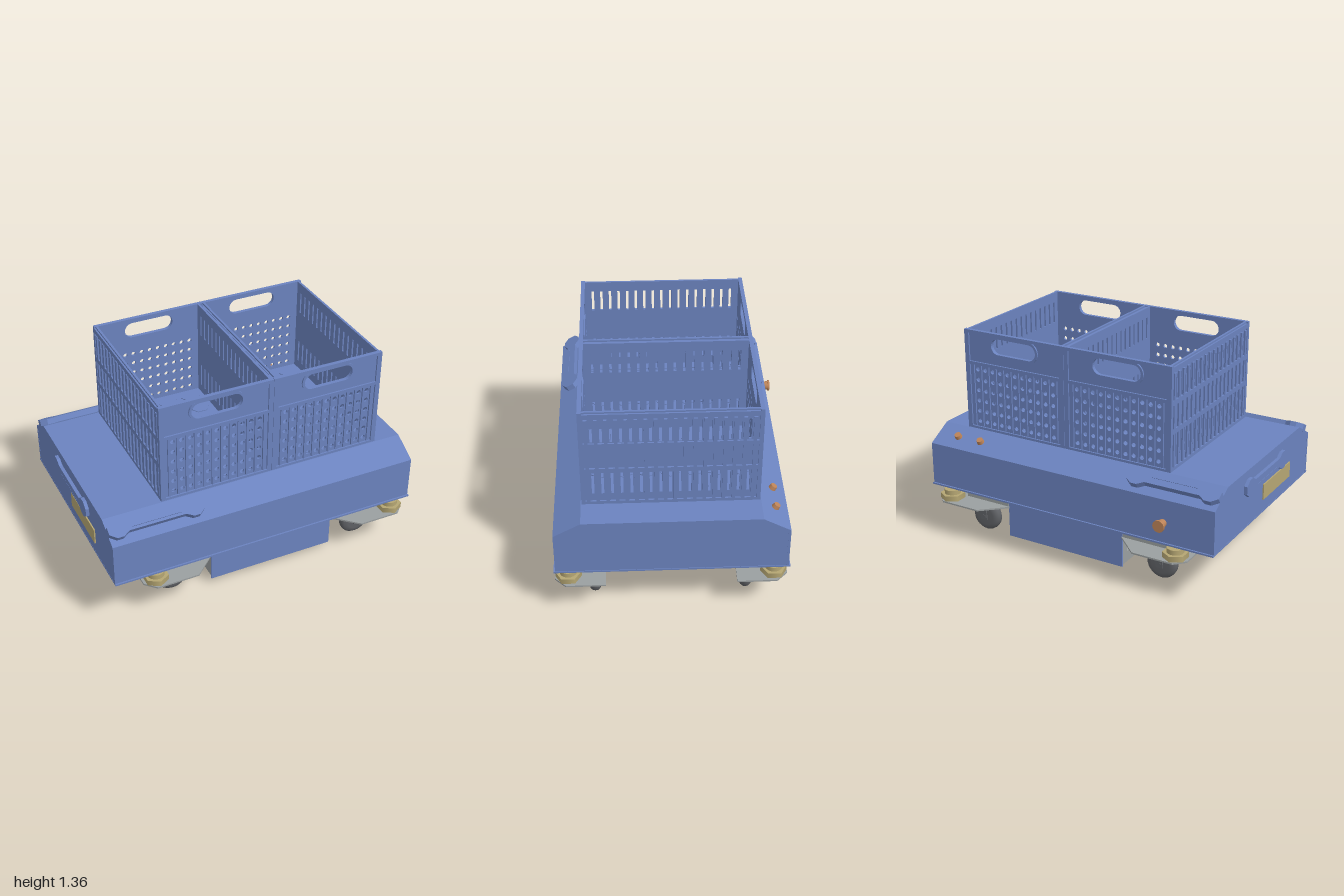
import * as THREE from 'three';

const mat = (name, color) => {
  const m = new THREE.MeshStandardMaterial({ color });
  m.name = name;
  return m;
};

export function createModel() {
  const model = new THREE.Group();
  model.name = 'cartWithCrates';
  const blue = mat('blue', 0x6b83bf);
  const grey = mat('frame grey', 0x9a9fa0);
  const dark = mat('dark grey', 0x606266);
  const tan = mat('tan', 0xb5a673);
  const copper = mat('copper', 0xbd8459);

  const add = (name, geo, m, x = 0, y = 0, z = 0, parent = model) => {
    const mesh = new THREE.Mesh(geo, m);
    mesh.name = name;
    mesh.position.set(x, y, z);
    parent.add(mesh);
    return mesh;
  };
  // Box given by its limits
  const box = (name, m, x0, x1, y0, y1, z0, z1, parent = model) =>
    add(name, new THREE.BoxGeometry(x1 - x0, y1 - y0, z1 - z0), m,
      (x0 + x1) / 2, (y0 + y1) / 2, (z0 + z1) / 2, parent);
  const cyl = (name, m, r0, r1, h, n, x, y, z, parent = model) =>
    add(name, new THREE.CylinderGeometry(r0, r1, h, n), m, x, y, z, parent);
  const poly = pts => new THREE.Shape(pts.map(p => new THREE.Vector2(p[0], p[1])));
  const extrude = (shape, depth) =>
    new THREE.ExtrudeGeometry(shape, { depth, bevelEnabled: false, curveSegments: 6 });
  const rect = (x0, x1, y0, y1, C = THREE.Path) => {
    const p = new C();
    p.moveTo(x0, y0); p.lineTo(x1, y0); p.lineTo(x1, y1); p.lineTo(x0, y1); p.closePath();
    return p;
  };
  // Horizontal hole with round ends
  const slot = (cx, cy, w, h) => {
    const p = new THREE.Path(), r = h / 2, d = w / 2 - r;
    p.absarc(cx + d, cy, r, -Math.PI / 2, Math.PI / 2);
    p.absarc(cx - d, cy, r, Math.PI / 2, Math.PI * 1.5);
    p.closePath();
    return p;
  };

  // Body shell, open below
  const outer = [[0.70, 0.36], [0.70, 0.63], [0.54, 0.72], [-0.495, 0.72], [-0.655, 0.63], [-0.655, 0.36]];
  const inner = [[-0.64, 0.36], [-0.64, 0.62], [-0.49, 0.705], [0.535, 0.705], [0.685, 0.62], [0.685, 0.36]];
  const slice = (name, pts, x, depth) => {
    add(name, extrude(poly(pts), depth), blue, x).rotation.y = -Math.PI / 2;
  };
  slice('bodyShell', [...outer, ...inner], 0.995, 1.975);
  slice('bodyEndLeft', outer, 0.994, 0.015);
  slice('bodyEndRight', outer, -0.964, 0.015);
  const rim = rect(-0.98, 0.998, -0.71, 0.665, THREE.Shape);
  rim.holes.push(rect(-0.62, 0.82, -0.5, 0.45));
  add('bottomRim', extrude(rim, 0.01), blue, 0, 0.352, 0).rotation.x = -Math.PI / 2;

  // Grab handles on the slopes and the right end
  const handleGeo = depth => {
    const q = [[0.295, 0.025], [0.255, 0.055], [0.215, 0.055], [0.175, 0.03]];
    const top = [...q, ...q.map(([x, y]) => [-x, y]).reverse()];
    const s = poly([...top, ...top.map(([x, y]) => [x, -y]).reverse()]);
    s.holes.push(rect(-0.15, 0.15, -0.013, -0.011));
    return extrude(s, depth);
  };
  const slope = Math.atan2(0.16, 0.09);
  add('frontHandle', handleGeo(0.035), blue, -0.685, 0.675, 0.62).rotation.x = -slope;
  add('backHandle', handleGeo(0.035), blue, -0.685, 0.675, -0.575).rotation.x = slope - Math.PI;
  add('endHandle', handleGeo(0.022), blue, -0.978, 0.61, 0.02).rotation.y = -Math.PI / 2;
  box('endPlate', tan, -0.987, -0.979, 0.44, 0.54, 0, 0.4);

  // Buttons and the socket at the back
  for (const x of [0.67, 0.84])
    cyl('button', copper, 0.02, 0.024, 0.03, 16, x, 0.682, -0.582).rotation.x = slope - Math.PI / 2;
  cyl('socket', copper, 0.024, 0.03, 0.06, 20, -0.655, 0.485, -0.68).rotation.x = Math.PI / 2;
  cyl('socketFlange', copper, 0.037, 0.037, 0.01, 20, -0.655, 0.485, -0.708).rotation.x = Math.PI / 2;

  // Two open crates
  const y0 = 0.72, y1 = 1.36, z0 = -0.49, z1 = 0.535, t = 0.014;
  for (const cx of [-0.253, 0.465]) {
    const crate = new THREE.Group();
    crate.name = 'crate';
    model.add(crate);
    const xa = cx - 0.358, xb = cx + 0.358;
    // Front and back walls with grip and round holes
    const face = rect(-0.358, 0.358, y0, y1, THREE.Shape);
    face.holes.push(slot(0, 1.28, 0.32, 0.1));
    for (let i = 0; i < 11; i++)
      for (let j = 0; j < 6; j++) {
        const h = new THREE.Path();
        h.absarc((i - 5) * 0.055, 0.77 + j * 0.068, 0.014, 0, Math.PI * 2);
        face.holes.push(h);
      }
    const faceGeo = extrude(face, t);
    // Long walls with two rows of slots
    const side = rect(z0, z1, y0, y1, THREE.Shape);
    for (let i = 0; i < 17; i++) {
      const z = -0.415 + i * 0.055;
      side.holes.push(rect(z - 0.008, z + 0.008, 0.79, 0.94), rect(z - 0.008, z + 0.008, 1.155, 1.295));
    }
    const sideGeo = extrude(side, t);
    for (const s of [1, -1]) {
      const zo = s > 0 ? z1 : z0;
      add('endWall', faceGeo, blue, cx, 0, s > 0 ? z1 - t - 0.01 : z0 + 0.01, crate);
      const zr = [Math.min(zo, zo - s * 0.012), Math.max(zo, zo - s * 0.012)];
      for (let i = 0; i < 12; i++) {
        const x = cx + (i - 5.5) * 0.055;
        box('endRib', blue, x - 0.006, x + 0.006, 0.74, 1.14, ...zr, crate);
      }
      for (const y of [0.725, 1.15, 1.35])
        box('endRail', blue, xa, xb, y - 0.01, y + 0.01, ...zr, crate);
      for (const x of [xa, xb - 0.03]) box('cornerPost', blue, x, x + 0.03, y0, y1, ...zr, crate);
      const grip = new THREE.Shape(slot(0, 1.28, 0.35, 0.13).getPoints(6));
      grip.holes.push(slot(0, 1.28, 0.32, 0.1));
      add('gripRim', extrude(grip, 0.012), blue, cx, 0, zr[0], crate);

      const w = add('sideWall', sideGeo, blue, s > 0 ? xb - 0.01 : xa + t + 0.01, 0, 0, crate);
      w.rotation.y = -Math.PI / 2;
      const xo = s > 0 ? xb : xa;
      const xr = [Math.min(xo, xo - s * 0.012), Math.max(xo, xo - s * 0.012)];
      for (let i = 0; i < 18; i++) {
        const z = -0.4425 + i * 0.055;
        box('sideRib', blue, ...xr, 0.74, 1.31, z - 0.01, z + 0.01, crate);
      }
      for (const y of [0.725, 0.96, 1.135, 1.335])
        box('sideRail', blue, ...xr, y - 0.015, y + 0.015, z0, z1, crate);
    }
    // Floor with hexagon pads
    box('crateFloor', blue, xa, xb, y0, 0.735, z0, z1, crate);
    for (let i = 0; i < 4; i++)
      for (let j = 0; j < 7; j++)
        cyl('hexPad', blue, 0.066, 0.066, 0.005, 6, cx + (i - 1.5) * 0.163, 0.737, -0.395 + j * 0.137, crate)
          .rotation.y = Math.PI / 2;
  }

  // Chassis, centred under the load
  const chassis = new THREE.Group();
  chassis.name = 'chassis';
  chassis.position.set(0.105, 0, 0.025);
  model.add(chassis);
  const cbox = (name, m, ...lim) => box(name, m, ...lim, chassis);
  const wheelProfile = [[0, -0.035], [0.06, -0.035], [0.085, -0.03], [0.098, -0.015], [0.1, 0],
    [0.098, 0.015], [0.085, 0.03], [0.06, 0.035], [0, 0.035]].map(p => new THREE.Vector2(...p));
  const wheelGeo = new THREE.LatheGeometry(wheelProfile, 28);

  for (const s of [1, -1]) {
    // Skirts
    cbox('longSkirt', blue, -0.413, 0.413, 0.042, 0.355, s * 0.537 - 0.005, s * 0.537 + 0.005);
    cbox('endSkirt', blue, s * 0.73 - 0.005, s * 0.73 + 0.005, 0.24, 0.355, -0.39, 0.39);
    for (const u of [-0.11, 0.11]) {
      cyl('skirtBolt', grey, 0.012, 0.012, 0.008, 4, u, 0.318, s * 0.542, chassis).rotation.x = Math.PI / 2;
      cyl('skirtBolt', grey, 0.012, 0.012, 0.008, 4, s * 0.735, 0.318, u, chassis).rotation.z = Math.PI / 2;
    }
    // Low frame and upper rails
    cbox('lowCrossBar', grey, s * 0.375 - 0.03, s * 0.375 + 0.03, 0.045, 0.115, -0.53, 0.53);
    cbox('lowLongBar', grey, -0.405, 0.405, 0.045, 0.115, s * 0.5 - 0.03, s * 0.5 + 0.03);
    cbox('innerBar', grey, -0.375, 0.375, 0.225, 0.265, s * 0.31 - 0.025, s * 0.31 + 0.025);
    cbox('upperCrossRail', grey, s * 0.5 - 0.03, s * 0.5 + 0.03, 0.28, 0.34, -0.53, 0.53);
    cbox('upperLongRail', grey, -0.72, 0.72, 0.28, 0.34, s * 0.42 - 0.03, s * 0.42 + 0.03);
    // Driven wheels with lugs
    const drive = new THREE.Group();
    drive.name = 'driveWheel';
    drive.position.set(0, 0.12, s * 0.208);
    chassis.add(drive);
    cyl('tyre', dark, 0.112, 0.112, 0.08, 28, 0, 0, 0, drive).rotation.x = Math.PI / 2;
    cyl('hub', dark, 0.05, 0.06, 0.1, 16, 0, 0, 0, drive).rotation.x = Math.PI / 2;
    for (let i = 0; i < 18; i++)
      for (const e of [1, -1]) {
        const a = (i + (e > 0 ? 0 : 0.5)) / 18 * Math.PI * 2;
        add('lug', new THREE.BoxGeometry(0.018, 0.02, 0.042), dark,
          Math.sin(a) * 0.11, Math.cos(a) * 0.11, e * 0.022, drive).rotation.z = -a;
      }
    cyl('axleMotor', dark, 0.048, 0.048, 0.07, 20, 0, 0.16, s * 0.125, chassis).rotation.x = Math.PI / 2;

    for (const e of [1, -1]) {
      const corner = new THREE.Group();
      corner.name = 'corner';
      chassis.add(corner);
      // Posts, brackets and chamfered corner plate
      box('framePost', grey, s * 0.375 - 0.03, s * 0.375 + 0.03, 0.115, 0.35, e * 0.5 - 0.03, e * 0.5 + 0.03, corner);
      box('longBracket', grey, s * 0.575 - 0.16, s * 0.575 + 0.16, 0.24, 0.35, e * 0.537 - 0.006, e * 0.537 + 0.006, corner);
      box('endBracket', grey, s * 0.732 - 0.006, s * 0.732 + 0.006, 0.24, 0.35, e * 0.465 - 0.075, e * 0.465 + 0.075, corner);
      for (const u of [0.555, 0.595])
        cyl('bracketBolt', grey, 0.012, 0.012, 0.008, 4, s * u, 0.315, e * 0.543, corner).rotation.x = Math.PI / 2;
      const pts = [[0.41, 0.385], [0.89, 0.385], [0.89, 0.62], [0.825, 0.685], [0.56, 0.685], [0.41, 0.545]];
      const plate = poly(pts.map(([u, v]) => [s * u, -e * v]));
      add('cornerPlate', extrude(plate, 0.01), grey, 0, 0.235, 0, corner).rotation.x = -Math.PI / 2;
      // Bumper foot
      cyl('bumperBase', tan, 0.078, 0.078, 0.035, 6, s * 0.805, 0.2625, e * 0.605, corner);
      cyl('bumperTop', tan, 0.052, 0.052, 0.03, 20, s * 0.805, 0.295, e * 0.605, corner);
      // Caster
      const cxx = s * 0.645, cz = e * 0.455;
      add('casterWheel', wheelGeo, dark, cxx, 0.1, cz, corner).rotation.x = Math.PI / 2;
      cyl('casterSwivel', dark, 0.045, 0.05, 0.03, 20, cxx + 0.03, 0.222, cz, corner);
      for (const f of [1, -1]) {
        const fork = poly([[-0.022, -0.02], [0.022, -0.02], [0.065, 0.115], [-0.015, 0.115]]);
        add('casterFork', extrude(fork, 0.008), dark, cxx, 0.1, cz + f * 0.043 - 0.004, corner);
      }
      cyl('casterAxle', dark, 0.014, 0.014, 0.1, 12, cxx, 0.1, cz, corner).rotation.x = Math.PI / 2;
    }
  }
  // Axle between the driven wheels
  cyl('gearbox', dark, 0.055, 0.055, 0.12, 20, 0, 0.16, 0, chassis).rotation.x = Math.PI / 2;
  cyl('axle', dark, 0.04, 0.04, 0.38, 16, 0, 0.16, 0, chassis).rotation.x = Math.PI / 2;
  cbox('axleMount', dark, -0.06, 0.06, 0.2, 0.24, -0.09, 0.09);
  cbox('axleBeam', grey, -0.05, 0.05, 0.24, 0.28, -0.5, 0.5);
  // Copper boxes inside the body
  cbox('equipmentBox', copper, 0.2, 0.45, 0.36, 0.52, -0.2, 0.2);
  cbox('equipmentBox', copper, -0.45, -0.25, 0.36, 0.5, -0.3, 0.3);
  return model;
}
